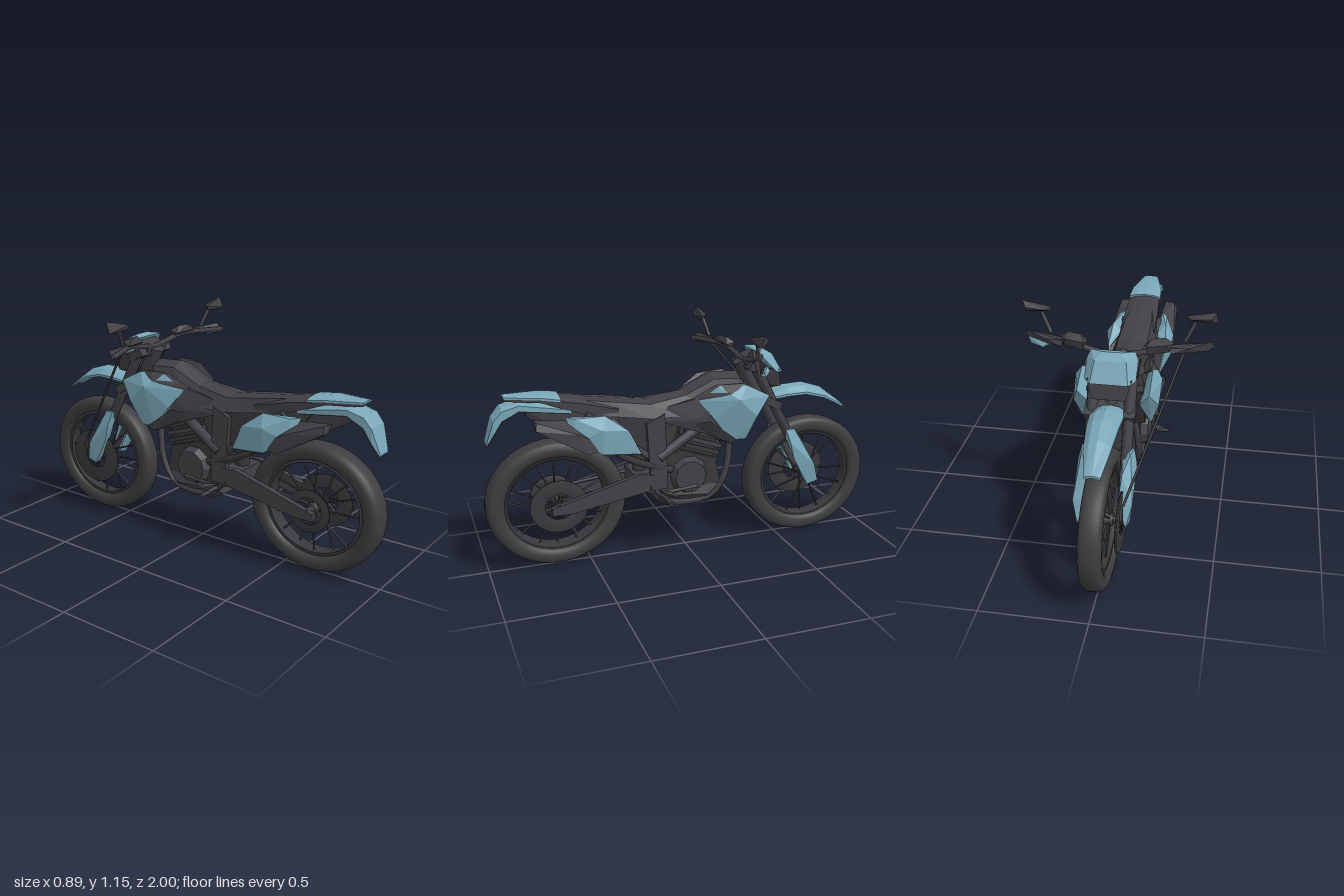
import * as THREE from 'three';
import { ConvexGeometry } from 'three/addons/geometries/ConvexGeometry.js';

export function createModel() {
  const mat = (name, color) => Object.assign(new THREE.MeshStandardMaterial({ color }), { name });
  const blue = mat('blue plastic', 0x7aa7b9), dark = mat('dark plastic', 0x424045);
  const rubber = mat('tyre rubber', 0x3d3d40), metal = mat('dark metal', 0x39383c);
  const model = new THREE.Group();
  model.name = 'motorcycle';
  const V = (p) => new THREE.Vector3(...p);

  const add = (name, geo, m, parent = model) => {
    const mesh = new THREE.Mesh(geo, m);
    mesh.name = name;
    parent.add(mesh);
    return mesh;
  };
  // faceted solid around a few corner points, optionally mirrored
  const hull = (name, m, pts, sides = [1]) => sides.forEach((s) =>
    add(name, new ConvexGeometry(pts.map(([x, y, z]) => new THREE.Vector3(x * s, y, z))), m));
  const PAIR = [1, -1];
  // outline in [z, y] stretched between two x positions
  const slab = (name, m, outline, x0, x1, sides = [1]) =>
    hull(name, m, outline.flatMap(([z, y]) => [[x0, y, z], [x1, y, z]]), sides);
  const rod = (name, m, a, b, r, sides = [1], r2 = r, parent = model, n = 8) => sides.forEach((s) => {
    const p = V(a), q = V(b);
    p.x *= s; q.x *= s;
    const mesh = add(name, new THREE.CylinderGeometry(r2, r, p.distanceTo(q), n), m, parent);
    mesh.position.copy(p).add(q).multiplyScalar(0.5);
    mesh.quaternion.setFromUnitVectors(new THREE.Vector3(0, 1, 0), q.sub(p).normalize());
  });
  const tube = (name, m, pts, r, sides = [1]) => sides.forEach((s) =>
    add(name, new THREE.TubeGeometry(new THREE.CatmullRomCurve3(
      pts.map(([x, y, z]) => new THREE.Vector3(x * s, y, z))), 20, r, 6), m));
  // symmetric faceted skin through half sections [z, [x, y]...], listed from high z to low z
  const loft = (name, m, sections) => {
    const rings = sections.map(([z, ...half]) => [
      ...half.map(([x, y]) => [x, y, z]),
      ...half.slice(1, -1).reverse().map(([x, y]) => [-x, y, z])]);
    const out = [], n = rings[0].length, last = rings[rings.length - 1];
    for (let i = 0; i + 1 < rings.length; i++) for (let j = 0; j < n; j++) {
      const k = (j + 1) % n, [a, b, c, d] = [rings[i][j], rings[i][k], rings[i + 1][k], rings[i + 1][j]];
      out.push(...a, ...b, ...c, ...a, ...c, ...d);
    }
    for (let j = 1; j + 1 < n; j++) {
      out.push(...rings[0][0], ...rings[0][j + 1], ...rings[0][j]);
      out.push(...last[0], ...last[j], ...last[j + 1]);
    }
    const geo = new THREE.BufferGeometry();
    geo.setAttribute('position', new THREE.Float32BufferAttribute(out, 3));
    geo.computeVertexNormals();
    return add(name, geo, m);
  };
  // curved sheet, rows of [z, y, half width, crown, thickness]
  const sheet = (name, m, rows) => loft(name, m, rows.map(([z, y, w, c, t]) =>
    [z, [0, y], [w * 0.6, y - c * 0.3], [w, y - c], [w, y - c - t], [0, y - t]]));

  // wheels: tyre, rim, spokes, hub and brake disc
  const wheel = (name, y, z, w, discX, discR) => {
    const g = new THREE.Group();
    g.name = name;
    g.position.set(0, y, z);
    g.scale.set(1, 0.92, 1);
    model.add(g);
    const lathe = (part, m, pts, seg = 48) => add(part, new THREE.LatheGeometry(
      pts.map((p) => new THREE.Vector2(...p)), seg).rotateZ(-Math.PI / 2), m, g);
    const ring = (part, r0, r1, x, t) =>
      lathe(part, metal, [[r0, x - t], [r1, x - t], [r1, x + t], [r0, x + t], [r0, x - t]]);
    const tyre = [];
    for (let i = 0; i <= 20; i++) {
      const a = -Math.PI + (i / 20) * Math.PI * 2, c = Math.cos(a), s = Math.sin(a);
      tyre.push([0.294 + 0.046 * Math.sign(c) * Math.abs(c) ** 0.8, w * Math.sign(s) * Math.abs(s) ** 0.7]);
    }
    lathe('tyre', rubber, tyre);
    ring('rim', 0.238, 0.262, 0, w * 0.6);
    lathe('hub', metal, [[0, -0.05], [0.03, -0.05], [0.03, 0.05], [0, 0.05]], 16);
    ring('brake disc', 0.07, discR, discX, 0.005);
    for (let i = 0; i < 16; i++) {
      const a = (i / 16) * Math.PI * 2, c = Math.cos(a), s = Math.sin(a), x = i % 2 ? 0.035 : -0.035;
      rod('spoke', metal, [x, c * 0.03, s * 0.03], [x * 0.3, c * 0.245, s * 0.245], 0.005, [1], 0.005, g, 5);
      rod('disc arm', metal, [discX, c * 0.02, s * 0.02], [discX, c * 0.075, s * 0.075], 0.005, [1], 0.005, g, 5);
    }
    rod('axle', metal, [-0.105, 0, 0], [0.105, 0, 0], 0.018, [1], 0.018, g);
    return ring;
  };
  const rearRing = wheel('rear wheel', 0.328, 0.66, 0.065, 0.082, 0.14);
  rearRing('sprocket', 0.07, 0.11, -0.082, 0.005);
  wheel('front wheel', 0.315, -0.66, 0.052, -0.085, 0.155);

  // seat and tank
  loft('seat', dark, [
    [0.57, [0, 0.845], [0.05, 0.838], [0.065, 0.80], [0, 0.79]],
    [0.40, [0, 0.822], [0.07, 0.815], [0.095, 0.75], [0, 0.74]],
    [0.20, [0, 0.797], [0.075, 0.785], [0.105, 0.72], [0, 0.71]],
    [0.02, [0, 0.825], [0.06, 0.81], [0.11, 0.72], [0, 0.68]],
    [-0.13, [0, 0.905], [0.065, 0.88], [0.12, 0.74], [0, 0.66]],
    [-0.27, [0, 0.895], [0.06, 0.87], [0.10, 0.75], [0, 0.68]]]);
  hull('tank side', dark, [[0.09, 0.77, 0.12], [0.09, 0.70, 0.16], [0.13, 0.70, -0.02], [0.14, 0.60, -0.14],
    [0.13, 0.83, -0.14], [0.15, 0.62, -0.28], [0.12, 0.85, -0.28], [0.06, 0.60, -0.14], [0.06, 0.85, -0.28]], PAIR);
  // tail and rear mudguard with its dark lining
  sheet('tail', dark, [[0.88, 0.867, 0.035, 0.004, 0.012], [0.72, 0.866, 0.074, 0.012, 0.014],
    [0.54, 0.845, 0.085, 0.02, 0.05], [0.36, 0.80, 0.09, 0.02, 0.07]]);
  sheet('tail top', blue, [[0.885, 0.873, 0.036, 0.003, 0.008], [0.72, 0.873, 0.078, 0.01, 0.01],
    [0.63, 0.863, 0.085, 0.014, 0.01]]);
  const guard = [[0.975, 0.66, 0.04, 0.004, 0.012], [0.94, 0.775, 0.06, 0.01, 0.06],
    [0.90, 0.825, 0.065, 0.012, 0.045], [0.82, 0.85, 0.07, 0.015, 0.025], [0.58, 0.81, 0.08, 0.015, 0.015]];
  sheet('rear mudguard', blue, guard);
  sheet('rear mudguard lining', dark, guard.map(([z, y, w, c, t]) => [z - 0.004, y - t, w - 0.002, c, 0.005]));
  // rear side panels and silencers
  hull('rear side panel', blue, [[0.10, 0.77, 0.62], [0.13, 0.765, 0.58], [0.14, 0.77, 0.44], [0.18, 0.71, 0.46],
    [0.15, 0.69, 0.33], [0.125, 0.56, 0.265], [0.165, 0.59, 0.46], [0.15, 0.66, 0.58], [0.10, 0.74, 0.42],
    [0.10, 0.58, 0.30]], PAIR);
  hull('side panel lining', dark, [[0.075, 0.75, 0.58], [0.075, 0.75, 0.40], [0.142, 0.68, 0.322], [0.12, 0.555, 0.258],
    [0.075, 0.57, 0.28], [0.08, 0.59, 0.46], [0.14, 0.575, 0.45]], PAIR);
  hull('silencer', dark, [[0.10, 0.77, 0.77], [0.15, 0.77, 0.76], [0.165, 0.735, 0.765], [0.11, 0.725, 0.76],
    [0.09, 0.75, 0.60], [0.17, 0.70, 0.57], [0.175, 0.60, 0.53], [0.09, 0.60, 0.54], [0.09, 0.66, 0.44],
    [0.15, 0.62, 0.42]], PAIR);
  tube('exhaust pipe', metal, [[0.11, 0.63, 0.44], [0.11, 0.56, 0.36], [0.10, 0.49, 0.22], [0.09, 0.45, 0.10]], 0.018, PAIR);

  // radiator shrouds, dark on the top and rear edges
  hull('shroud', blue, [[0.115, 0.79, -0.03], [0.142, 0.86, -0.12], [0.165, 0.862, -0.26], [0.205, 0.80, -0.21],
    [0.165, 0.80, -0.38], [0.20, 0.71, -0.30], [0.16, 0.59, -0.26], [0.155, 0.59, -0.18], [0.15, 0.70, -0.10],
    [0.12, 0.74, -0.36]], PAIR);
  hull('shroud top trim', dark, [[0.10, 0.80, 0.0], [0.11, 0.78, -0.02], [0.13, 0.868, -0.11], [0.16, 0.871, -0.20],
    [0.155, 0.871, -0.27], [0.18, 0.828, -0.175], [0.09, 0.80, -0.20]], PAIR);
  hull('shroud lower trim', dark, [[0.12, 0.68, 0.0], [0.165, 0.70, -0.07], [0.17, 0.575, -0.18],
    [0.188, 0.60, -0.20], [0.12, 0.57, -0.17], [0.11, 0.64, -0.03]], PAIR);
  slab('radiator', metal, [[-0.17, 0.58], [-0.25, 0.58], [-0.33, 0.79], [-0.24, 0.80]], -0.13, 0.13);

  // engine
  slab('crankcase', metal, [[0.2, 0.5], [0.18, 0.34], [0.1, 0.30], [-0.1, 0.30], [-0.16, 0.35], [-0.13, 0.48], [0.05, 0.54]], -0.085, 0.085);
  for (const s of PAIR) {
    const cover = add('engine cover', new THREE.CylinderGeometry(0.08, 0.1, 0.04, 10).toNonIndexed(), dark);
    cover.geometry.computeVertexNormals();
    cover.rotation.z = -s * Math.PI / 2;
    cover.position.set(s * 0.1, 0.41, 0.01);
  }
  slab('cylinder block', metal, [[0.06, 0.5], [0.02, 0.66], [-0.15, 0.62], [-0.12, 0.46]], -0.07, 0.07);
  for (let i = 0; i < 5; i++) {
    const fin = add('cylinder fin', new THREE.BoxGeometry(0.16, 0.022, 0.19), i % 2 ? metal : dark);
    fin.position.set(0, 0.5 + i * 0.034, -0.05 - i * 0.012);
    fin.rotation.x = -0.33;
  }
  slab('cylinder head', metal, [[0.05, 0.62], [0.04, 0.69], [-0.15, 0.66], [-0.16, 0.56]], -0.06, 0.06);
  hull('skid plate', dark, PAIR.flatMap((s) => [[0.055 * s, 0.245, 0.1], [0.055 * s, 0.245, -0.1], [0.05 * s, 0.28, 0.165],
    [0.1 * s, 0.32, 0.15], [0.1 * s, 0.30, -0.08], [0.07 * s, 0.31, -0.175], [0.08 * s, 0.36, -0.165]]));

  // frame
  tube('frame rail', dark, [[0.05, 0.82, -0.30], [0.07, 0.62, -0.22], [0.09, 0.40, -0.18], [0.08, 0.29, -0.11],
    [0.08, 0.28, 0.10], [0.09, 0.36, 0.19]], 0.016, PAIR);
  rod('frame spar', dark, [0.06, 0.79, -0.28], [0.10, 0.52, 0.17], 0.025, PAIR);
  slab('rear frame plate', dark, [[0.14, 0.74], [0.23, 0.70], [0.21, 0.36], [0.13, 0.36], [0.13, 0.52]], 0.085, 0.11, PAIR);
  rod('subframe strut', dark, [0.09, 0.50, 0.18], [0.09, 0.77, 0.52], 0.016, PAIR);
  slab('airbox', metal, [[0.05, 0.72], [0.40, 0.75], [0.32, 0.64], [0.20, 0.52], [0.08, 0.60]], -0.08, 0.08);
  rod('shock absorber', metal, [0, 0.70, 0.24], [0, 0.42, 0.24], 0.035);

  // swingarm and chain
  slab('swingarm', dark, [[0.2, 0.44], [0.27, 0.45], [0.54, 0.375], [0.70, 0.33], [0.70, 0.295], [0.60, 0.295], [0.22, 0.36]], 0.085, 0.115, PAIR);
  slab('swingarm bridge', dark, [[0.19, 0.44], [0.29, 0.44], [0.29, 0.36], [0.19, 0.34]], -0.1, 0.1);
  rod('chain', metal, [-0.08, 0.365, 0.66], [-0.08, 0.42, 0.17], 0.008);
  // footpegs and pedals
  rod('footpeg', dark, [0.14, 0.315, 0.14], [0.205, 0.315, 0.14], 0.011, PAIR);
  rod('footpeg bracket', dark, [0.09, 0.33, 0.16], [0.145, 0.318, 0.14], 0.009, PAIR);
  hull('pedal', dark, [[0.10, 0.35, 0.17], [0.10, 0.33, 0.11], [0.14, 0.355, 0.12], [0.21, 0.343, 0.10], [0.13, 0.335, 0.15]], PAIR);
  rod('pedal lever', dark, [0.11, 0.34, 0.15], [0.12, 0.36, -0.02], 0.009, PAIR);

  // front fork, guards and clamps
  rod('fork tube', dark, [0.085, 0.31, -0.66], [0.085, 0.94, -0.33], 0.022, PAIR, 0.028);
  hull('fork guard', blue, [[0.07, 0.60, -0.495], [0.12, 0.595, -0.50], [0.11, 0.595, -0.55], [0.135, 0.53, -0.52],
    [0.08, 0.52, -0.61], [0.13, 0.44, -0.545], [0.135, 0.40, -0.66], [0.07, 0.40, -0.67], [0.12, 0.29, -0.63],
    [0.11, 0.30, -0.695], [0.07, 0.30, -0.63]], PAIR);
  for (const [y, z] of [[0.74, -0.43], [0.92, -0.34]]) {
    const clamp = add('fork clamp', new THREE.BoxGeometry(0.23, 0.04, 0.09), dark);
    clamp.position.set(0, y, z);
    clamp.rotation.x = -0.48;
  }
  rod('steering stem', dark, [0, 0.73, -0.40], [0, 0.95, -0.29], 0.04);
  hull('brake caliper', metal, [[-0.075, 0.42, -0.70], [-0.1, 0.42, -0.70], [-0.075, 0.37, -0.74], [-0.1, 0.37, -0.74],
    [-0.075, 0.34, -0.70], [-0.1, 0.34, -0.70]]);
  // front mudguard
  sheet('front mudguard', blue, [[-0.44, 0.775, 0.06, 0.02, 0.012], [-0.53, 0.805, 0.075, 0.035, 0.012],
    [-0.63, 0.81, 0.07, 0.04, 0.012], [-0.74, 0.775, 0.06, 0.035, 0.012], [-0.865, 0.68, 0.035, 0.008, 0.01]]);

  // headlight and its cowl
  hull('headlight', dark, PAIR.flatMap((s) => [[0.09 * s, 0.92, -0.36], [0.10 * s, 0.91, -0.46], [0.075 * s, 0.82, -0.48],
    [0.06 * s, 0.81, -0.43], [0.08 * s, 0.84, -0.38]]));
  hull('headlight cowl', blue, PAIR.flatMap((s) => [[0.10 * s, 1.0, -0.35], [0.04 * s, 1.01, -0.39], [0.07 * s, 0.985, -0.43],
    [0.085 * s, 0.895, -0.48], [0.115 * s, 0.90, -0.44], [0.115 * s, 0.97, -0.37]]));
  slab('instrument panel', dark, [[-0.29, 0.96], [-0.36, 0.985], [-0.38, 0.92], [-0.30, 0.91]], -0.07, 0.07);

  // handlebar, controls, hand guards
  tube('handlebar', dark, [[0, 0.955, -0.30], [0.1, 0.97, -0.30], [0.2, 0.99, -0.285], [0.32, 0.99, -0.24], [0.43, 0.985, -0.20]], 0.013, PAIR);
  hull('switch housing', dark, [[0.13, 1.0, -0.27], [0.16, 1.035, -0.28], [0.22, 1.035, -0.26], [0.26, 1.005, -0.25],
    [0.15, 0.97, -0.31], [0.24, 0.98, -0.29], [0.14, 1.01, -0.32], [0.23, 1.02, -0.31]], PAIR);
  hull('hand guard', dark, [[0.24, 1.0, -0.29], [0.25, 0.975, -0.30], [0.42, 1.015, -0.225], [0.435, 0.98, -0.20],
    [0.41, 0.965, -0.22], [0.33, 1.0, -0.28], [0.33, 0.975, -0.27]], PAIR);
  hull('hand guard trim', blue, [[0.30, 0.972, -0.275], [0.33, 0.965, -0.30], [0.40, 0.958, -0.25], [0.425, 0.97, -0.205],
    [0.42, 0.985, -0.23], [0.31, 0.985, -0.295]]);
  // mirrors and brake hose
  rod('mirror stem', dark, [0.305, 1.015, -0.245], [0.35, 1.105, -0.225], 0.009, PAIR);
  hull('mirror', dark, [[0.305, 1.122, -0.20], [0.315, 1.102, -0.205], [0.44, 1.155, -0.22], [0.443, 1.10, -0.20],
    [0.39, 1.098, -0.205], [0.33, 1.12, -0.24], [0.42, 1.13, -0.245], [0.42, 1.11, -0.235]], PAIR);
  rod('brake hose', metal, [-0.305, 0.975, -0.26], [-0.1, 0.42, -0.70], 0.006);
  return model;
}
